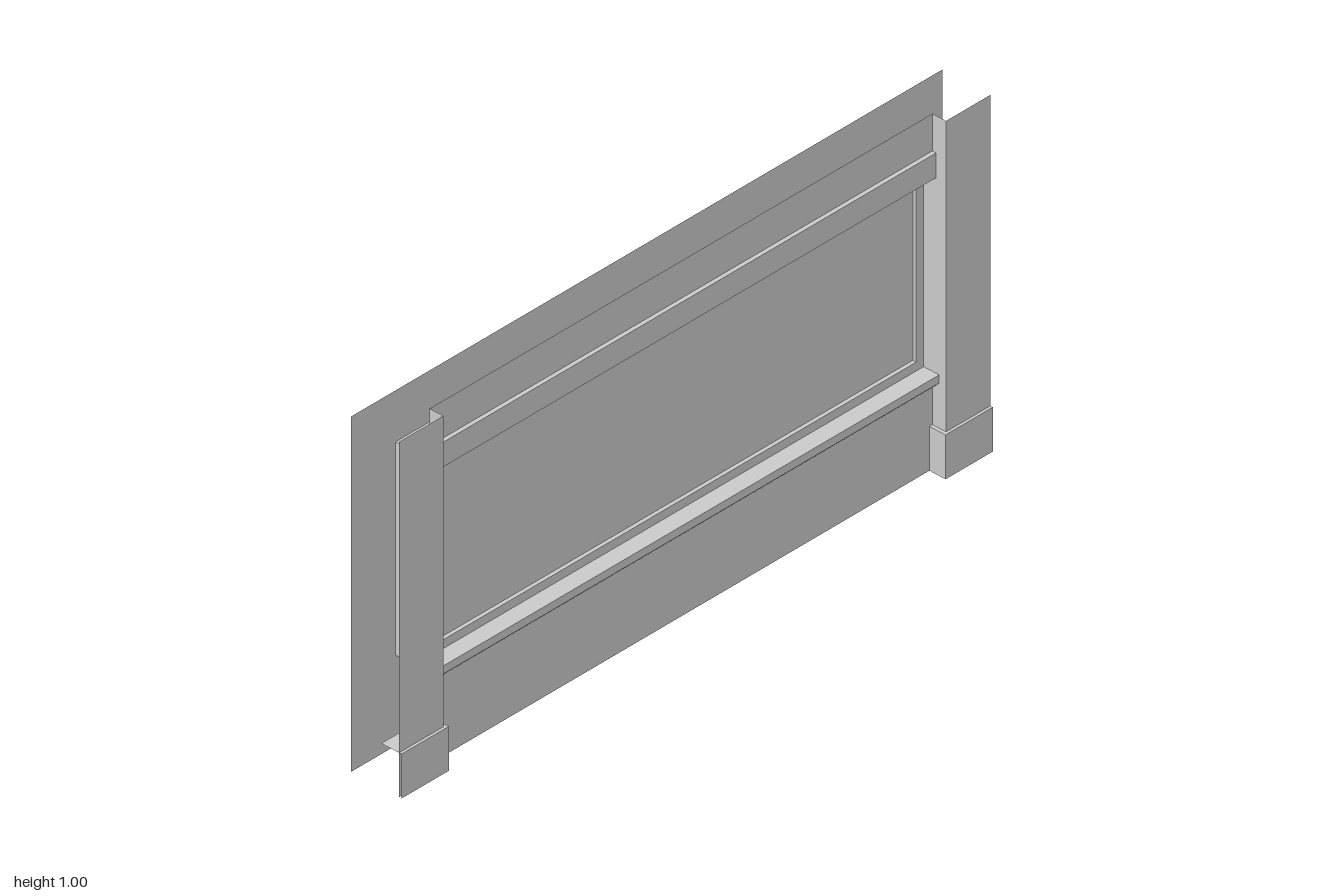
import * as THREE from 'three';

const grey = new THREE.MeshStandardMaterial({ color: 0xcccccc, side: THREE.DoubleSide, flatShading: true });

// main levels
const X = 0.85;                       // half width of the opening
const FRONT = 0.033, BACK = -0.077;   // the two wall skins
const PIER = 0.077;                   // front of the side piers
const LOW = 0.255, HIGH = 0.855;      // opening in the wall

function add(group, name, geometry) {
  const mesh = new THREE.Mesh(geometry, grey);
  mesh.name = name;
  group.add(mesh);
  return mesh;
}

// solid block given by its limits
function block(group, name, x0, x1, y0, y1, z0, z1) {
  add(group, name, new THREE.BoxGeometry(x1 - x0, y1 - y0, z1 - z0))
    .position.set((x0 + x1) / 2, (y0 + y1) / 2, (z0 + z1) / 2);
}

// upright sheet facing the front
function sheet(group, name, x0, x1, y0, y1, z) {
  add(group, name, new THREE.PlaneGeometry(x1 - x0, y1 - y0))
    .position.set((x0 + x1) / 2, (y0 + y1) / 2, z);
}

// upright sheet facing sideways
function sideSheet(group, name, x, y0, y1, z0, z1) {
  const mesh = add(group, name, new THREE.PlaneGeometry(z1 - z0, y1 - y0));
  mesh.rotation.y = Math.PI / 2;
  mesh.position.set(x, (y0 + y1) / 2, (z0 + z1) / 2);
}

// rectangle with a rectangular hole
function ringShape(x0, y0, y1, hx, hy0, hy1) {
  const shape = new THREE.Shape([
    new THREE.Vector2(-x0, y0), new THREE.Vector2(x0, y0),
    new THREE.Vector2(x0, y1), new THREE.Vector2(-x0, y1)]);
  shape.holes.push(new THREE.Path([
    new THREE.Vector2(-hx, hy0), new THREE.Vector2(-hx, hy1),
    new THREE.Vector2(hx, hy1), new THREE.Vector2(hx, hy0)]));
  return shape;
}

export function createModel() {
  const model = new THREE.Group();
  model.name = 'panelledWall';

  // back skin with its opening
  add(model, 'backWall', new THREE.ShapeGeometry(ringShape(1, 0, 1, X, LOW, HIGH)))
    .position.z = BACK;

  // front skin above and below the opening
  sheet(model, 'frontWallLower', -X, X, 0, LOW, FRONT);
  sheet(model, 'frontWallUpper', -X, X, HIGH, 1, FRONT);

  // side piers, their open-backed plinths and the sides of the opening
  for (const [side, s] of [['left', 1], ['right', -1]]) {
    const span = (inner) => (s > 0 ? [inner, 1] : [-1, -inner]);
    sheet(model, side + 'PierFront', ...span(X), 0, 1, PIER);
    sideSheet(model, side + 'PierReturn', s * X, 0, 1, FRONT, PIER);

    sheet(model, side + 'PlinthFront', ...span(0.84), 0, 0.125, 0.085);
    sideSheet(model, side + 'PlinthReturn', s * 0.84, 0, 0.125, 0.02, 0.085);
    const top = add(model, side + 'PlinthTop', new THREE.PlaneGeometry(0.16, 0.065));
    top.rotation.x = -Math.PI / 2;
    top.position.set(s * 0.92, 0.125, 0.0525);

    sideSheet(model, side + 'Jamb', s * X, LOW, HIGH, BACK, FRONT);
  }

  // head and sill boards lining the opening
  block(model, 'headBoard', -X, X, 0.825, HIGH, BACK, FRONT);
  block(model, 'sillBoard', -X, X, LOW, 0.275, BACK, FRONT);

  // flat trims on the back and above the opening
  block(model, 'backHeadTrim', -X, X, 0.825, 0.895, -0.083, BACK);
  block(model, 'backSillTrim', -X, X, 0.235, 0.278, -0.083, BACK);
  block(model, 'frontHeadTrim', -X, X, 0.825, 0.895, FRONT, 0.045);

  // projecting sill with a sloping underside, drawn as (-z, y)
  const profile = new THREE.Shape([
    [-FRONT, 0.235], [-FRONT, 0.275], [-0.055, 0.275], [-0.055, 0.252], [-0.039, 0.235]
  ].map(([a, b]) => new THREE.Vector2(a, b)));
  const sill = add(model, 'frontSill',
    new THREE.ExtrudeGeometry(profile, { depth: 2 * X, bevelEnabled: false }));
  sill.rotation.y = Math.PI / 2;
  sill.position.x = -X;

  // inner frame
  add(model, 'innerFrame', new THREE.ExtrudeGeometry(
    ringShape(X, 0.275, 0.825, 0.825, 0.3, 0.8), { depth: 0.052, bevelEnabled: false }))
    .position.z = -0.047;

  // row of seven flush panels
  const panels = new THREE.Group();
  panels.name = 'panels';
  model.add(panels);
  const count = 7, w = 1.65 / count;
  for (let i = 0; i < count; i++) {
    const x = -0.825 + i * w;
    block(panels, 'panel' + (i + 1), x, x + w, 0.3, 0.8, -0.031, -0.006);
  }
  return model;
}
